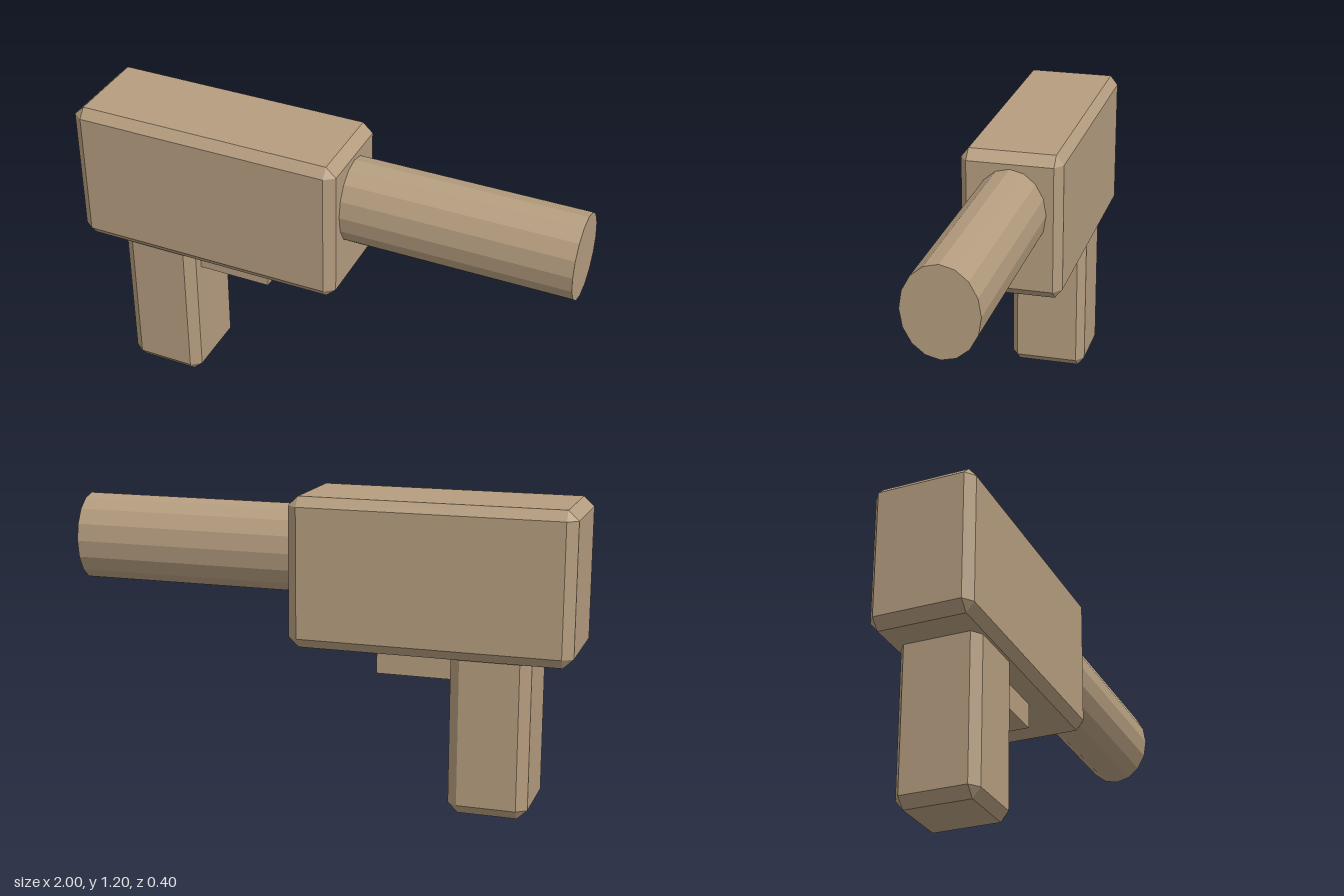
import * as THREE from 'three';
import { ConvexGeometry } from 'three/addons/geometries/ConvexGeometry.js';

// Box between two corners with every edge chamfered by (bx, by, bz)
function chamferBox(min, max, bevel) {
  const centre = min.map((v, i) => (v + max[i]) / 2);
  const half = min.map((v, i) => (max[i] - v) / 2);
  const points = [];
  for (const sx of [-1, 1]) for (const sy of [-1, 1]) for (const sz of [-1, 1]) {
    const sign = [sx, sy, sz];
    // Each corner becomes three points, one on each adjoining face
    for (let face = 0; face < 3; face++) {
      points.push(new THREE.Vector3(...sign.map((s, i) =>
        centre[i] + s * (half[i] - (i === face ? 0 : bevel[i])))));
    }
  }
  return new ConvexGeometry(points);
}

export function createModel() {
  const group = new THREE.Group();
  const tan = new THREE.MeshStandardMaterial({ color: 0xb59d7f, flatShading: true });
  tan.name = 'tan';

  const add = (name, geometry) => {
    const mesh = new THREE.Mesh(geometry, tan);
    mesh.name = name;
    group.add(mesh);
    return mesh;
  };

  const bevel = [0.04, 0.038, 0.03];

  // Main housing
  add('body', chamferBox([-1, 0.615, -0.2], [0.1, 1.2, 0.2], bevel));

  // Handle, its top buried in the housing
  add('grip', chamferBox([-0.84, 0, -0.16], [-0.53, 0.67, 0.16], bevel));

  // Oval barrel along x
  const barrel = new THREE.CylinderGeometry(1, 1, 0.92, 16);
  barrel.rotateZ(-Math.PI / 2);
  barrel.scale(1, 0.174, 0.142);
  add('barrel', barrel).position.set(0.54, 0.969, 0);

  // Trigger block in front of the grip
  add('trigger', new THREE.BoxGeometry(0.33, 0.12, 0.18)).position.set(-0.395, 0.575, 0);

  return group;
}
